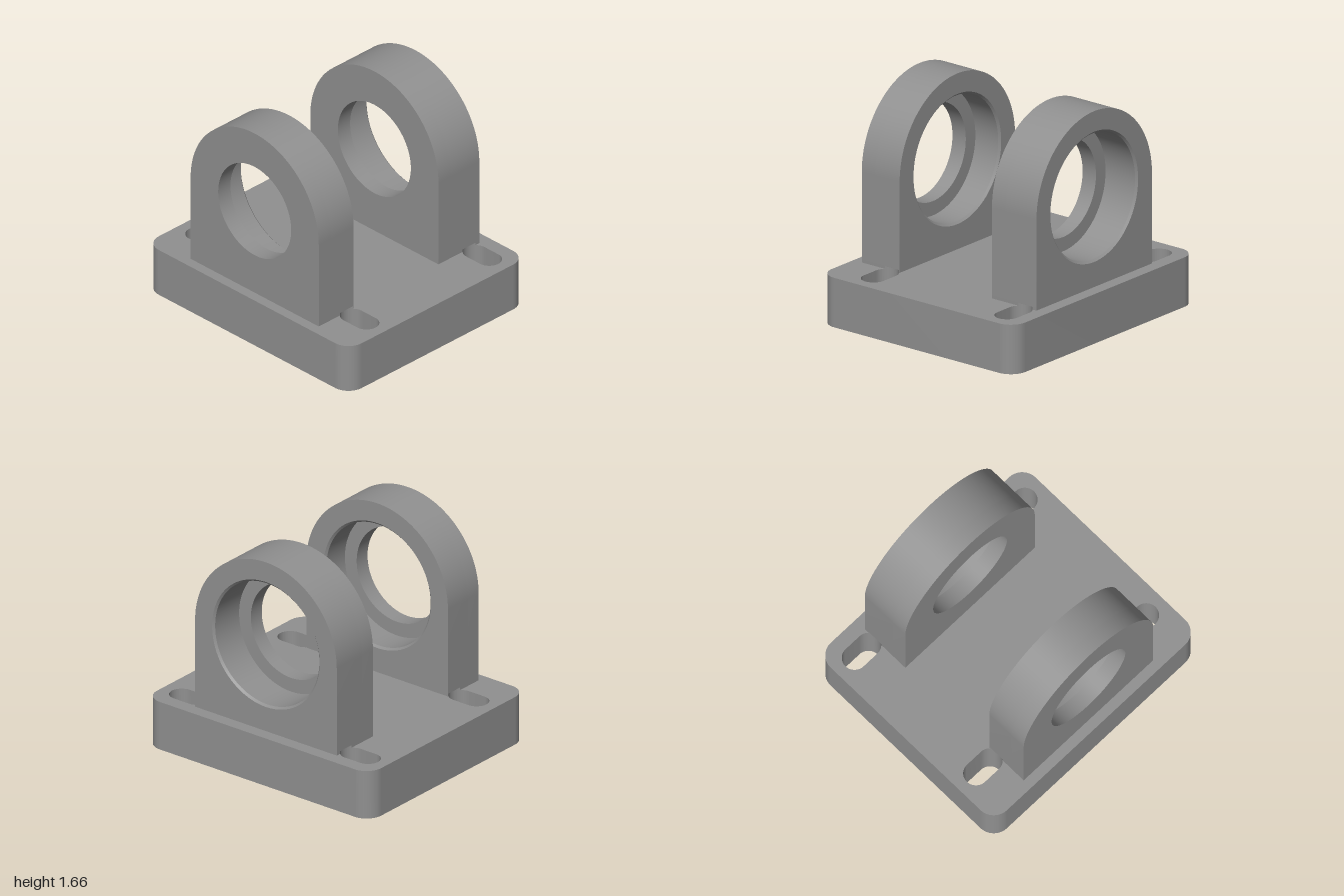
import * as THREE from 'three';
import { toCreasedNormals } from 'three/addons/utils/BufferGeometryUtils.js';

const BASE_TOP = 0.365, NOTCH_TOP = 0.385;
const HALF_W = 0.632, AXIS_Y = 1.03;
const LIP_R = 0.36, SEAT_R = 0.465, RIM_R = 0.48, CHAMFER = 0.015;
const SLOT_R = 0.089, SLOT_IN = 0.695, SLOT_OUT = 0.831;

// front and back faces of each lug, and the z of the slots beside it
const LUGS = [
  { name: 'frontLug', front: 0.795, back: 0.455, slotZ: 0.525 },
  { name: 'rearLug', front: -0.375, back: -0.775, slotZ: -0.675 },
];

const metal = new THREE.MeshStandardMaterial({ color: 0x909090 });
metal.name = 'grey metal';
const metalOpen = metal.clone();
metalOpen.side = THREE.DoubleSide;

function extrude(shape, depth) {
  const g = new THREE.ExtrudeGeometry(shape, { depth, bevelEnabled: false, curveSegments: 48 });
  return toCreasedNormals(g, 0.5);
}

function add(parent, name, geometry, material = metal) {
  const mesh = new THREE.Mesh(geometry, material);
  mesh.name = name;
  parent.add(mesh);
  return mesh;
}

// Lay an extrusion flat: shape y becomes -z, depth becomes height
function addFlat(parent, name, shape, y0, y1) {
  const g = extrude(shape, y1 - y0);
  g.rotateX(-Math.PI / 2);
  g.translate(0, y0, 0);
  return add(parent, name, g);
}

function slotPath(side, z) {
  const p = new THREE.Path();
  const a = side > 0 ? SLOT_IN : -SLOT_OUT, b = side > 0 ? SLOT_OUT : -SLOT_IN;
  p.absarc(a, -z, SLOT_R, Math.PI / 2, Math.PI * 1.5, false);
  p.absarc(b, -z, SLOT_R, -Math.PI / 2, Math.PI / 2, false);
  p.closePath();
  return p;
}

// Rounded base plate with four through slots
function baseShape() {
  const w = 1, d = 0.87, r = 0.13, s = new THREE.Shape();
  s.absarc(w - r, d - r, r, 0, Math.PI / 2, false);
  s.absarc(-w + r, d - r, r, Math.PI / 2, Math.PI, false);
  s.absarc(-w + r, -d + r, r, Math.PI, Math.PI * 1.5, false);
  s.absarc(w - r, -d + r, r, Math.PI * 1.5, Math.PI * 2, false);
  s.closePath();
  for (const { slotZ } of LUGS) for (const side of [-1, 1]) s.holes.push(slotPath(side, slotZ));
  return s;
}

// Arch outline with a round hole
function archShape(holeR) {
  const s = new THREE.Shape();
  s.moveTo(-HALF_W, NOTCH_TOP);
  s.lineTo(HALF_W, NOTCH_TOP);
  s.absarc(0, AXIS_Y, HALF_W, 0, Math.PI, false);
  s.closePath();
  const hole = new THREE.Path();
  hole.absarc(0, AXIS_Y, holeR, 0, Math.PI * 2, true);
  s.holes.push(hole);
  return s;
}

// Plan of the lug foot, nicked on both sides where the slots run into it
function footShape({ front, back, slotZ }) {
  const t = Math.acos((SLOT_IN - HALF_W) / SLOT_R);
  const s = new THREE.Shape();
  s.moveTo(-HALF_W, -front);
  s.lineTo(HALF_W, -front);
  s.absarc(SLOT_IN, -slotZ, SLOT_R, Math.PI + t, Math.PI - t, true);
  s.lineTo(HALF_W, -back);
  s.lineTo(-HALF_W, -back);
  s.absarc(-SLOT_IN, -slotZ, SLOT_R, t, -t, true);
  s.closePath();
  return s;
}

function makeLug(lug) {
  const group = new THREE.Group();
  group.name = lug.name;
  const shoulder = lug.front - 0.12;

  addFlat(group, 'lugFoot', footShape(lug), BASE_TOP, NOTCH_TOP);
  // front part with the small bore, rear part with the bearing seat
  add(group, 'lipPlate', extrude(archShape(LIP_R), lug.front - shoulder)).position.z = shoulder;
  add(group, 'seatPlate', extrude(archShape(RIM_R), shoulder - lug.back)).position.z = lug.back;

  // bearing seat wall with a small chamfer at the rear rim
  const profile = [[RIM_R, lug.back], [SEAT_R, lug.back + CHAMFER], [SEAT_R, shoulder]]
    .map(([r, z]) => new THREE.Vector2(r, z));
  const seat = new THREE.LatheGeometry(profile, 96);
  seat.rotateX(Math.PI / 2);
  seat.translate(0, AXIS_Y, 0);
  add(group, 'bearingSeat', toCreasedNormals(seat, 0.5), metalOpen);
  return group;
}

export function createModel() {
  const model = new THREE.Group();
  model.name = 'bearingBracket';
  addFlat(model, 'basePlate', baseShape(), 0, BASE_TOP);
  for (const lug of LUGS) model.add(makeLug(lug));
  return model;
}
